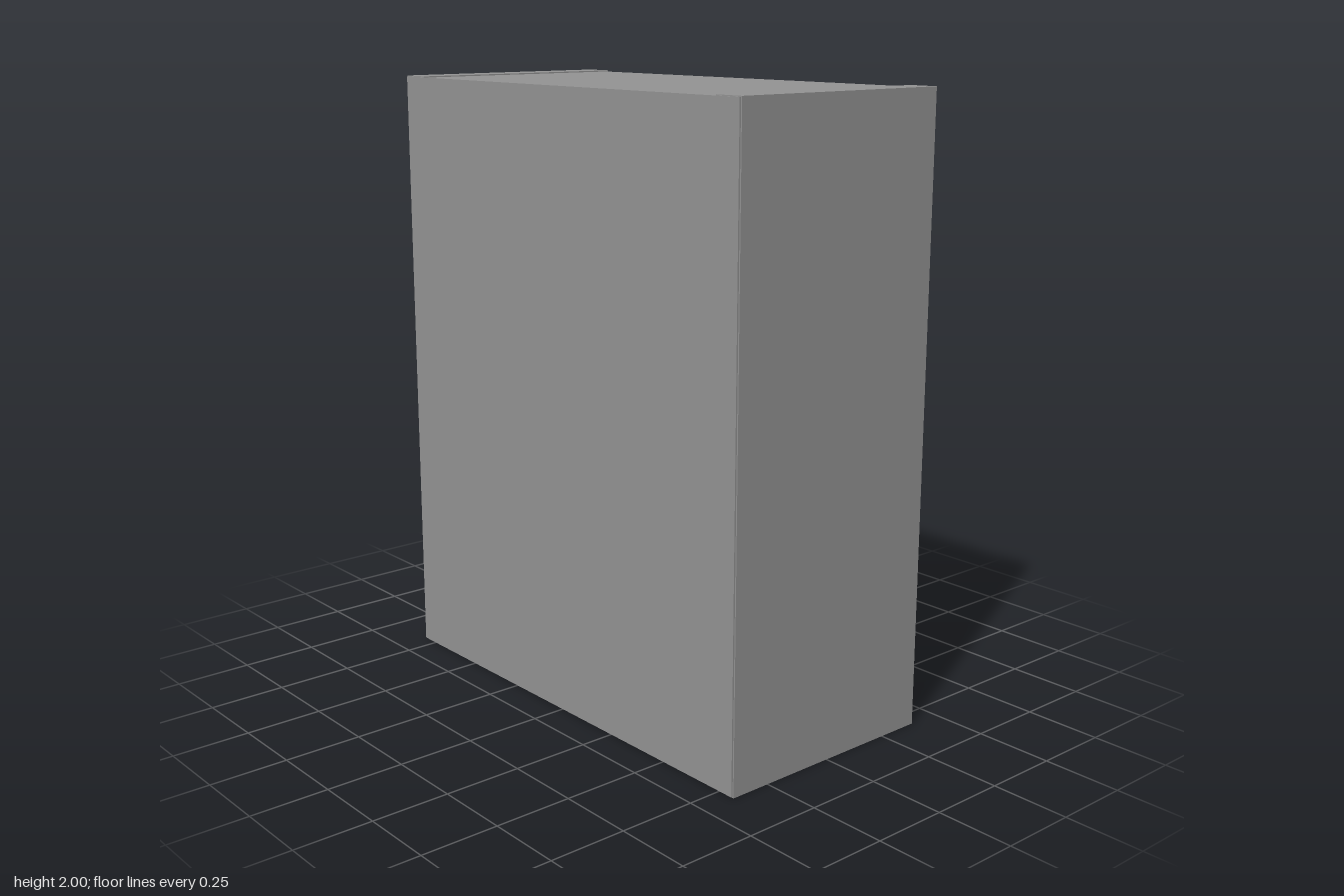
import * as THREE from 'three';
import { mergeGeometries } from 'three/addons/utils/BufferGeometryUtils.js';

const grey = new THREE.MeshStandardMaterial({ color: 0x949494 });
const glass = new THREE.MeshStandardMaterial({ color: 0x19150e });
const paper = new THREE.MeshStandardMaterial({ color: 0x9b9642 });
const yellow = new THREE.MeshStandardMaterial({ color: 0xa09a27 });

// Box given by its limits on each axis
function slab(name, [x0, x1], [y0, y1], [z0, z1]) {
  const mesh = new THREE.Mesh(new THREE.BoxGeometry(x1 - x0, y1 - y0, z1 - z0), grey);
  mesh.position.set((x0 + x1) / 2, (y0 + y1) / 2, (z0 + z1) / 2);
  mesh.name = name;
  return mesh;
}

// Eight-sided turned shape: smooth around, sharp at every ring of the profile
function turned(profile) {
  const points = profile.map(([r, y]) => new THREE.Vector2(r, y));
  return mergeGeometries(
    points.slice(1).map((point, i) => new THREE.LatheGeometry([points[i], point], 8)),
  );
}

const jarParts = [
  ['jarBase', glass, turned([[0, 0], [0.104, 0], [0.115, 0.022], [0.115, 0.052]])],
  ['jarLabel', paper, turned([[0.115, 0.052], [0.115, 0.195]])],
  ['jarNeck', glass, turned([[0.115, 0.195], [0.115, 0.212], [0.102, 0.226], [0.102, 0.242], [0.112, 0.252]])],
  ['jarLid', yellow, turned([[0.1, 0.25], [0.115, 0.252], [0.115, 0.281], [0.109, 0.286], [0, 0.286]])],
];

function createJar() {
  const jar = new THREE.Group();
  jar.name = 'jar';
  for (const [name, material, geometry] of jarParts) {
    const mesh = new THREE.Mesh(geometry, material);
    mesh.name = name;
    jar.add(mesh);
  }
  return jar;
}

export function createModel() {
  const model = new THREE.Group();
  model.name = 'jarShelf';
  const inner = [-0.71, 0.71];

  // Cabinet, open towards +x; the end panels stand slightly proud all round
  model.add(
    slab('leftEndPanel', [-0.387, 0.392], [0, 2], [0.71, 0.81]),
    slab('rightEndPanel', [-0.387, 0.392], [0, 2], [-0.81, -0.71]),
    slab('topPanel', [-0.387, 0.384], [1.897, 1.996], inner),
    slab('bottomPanel', [-0.387, 0.384], [0.004, 0.106], inner),
    slab('backPanel', [-0.392, -0.38], [0.003, 1.997], [-0.806, 0.806]),
  );

  // Shelves, slightly set back from the opening
  const shelfTops = [0.543, 1.027, 1.516];
  for (const top of shelfTops) {
    model.add(slab('shelf', [-0.38, 0.346], [top - 0.099, top], inner));
  }

  // A row of six jars on the floor and on each shelf
  for (const y of [0.106, ...shelfTops]) {
    const row = new THREE.Group();
    row.name = 'jarRow';
    row.position.set(0.197, y, 0);
    for (let i = 0; i < 6; i++) {
      const jar = createJar();
      jar.position.z = (i - 2.5) * 0.236;
      row.add(jar);
    }
    model.add(row);
  }
  return model;
}
